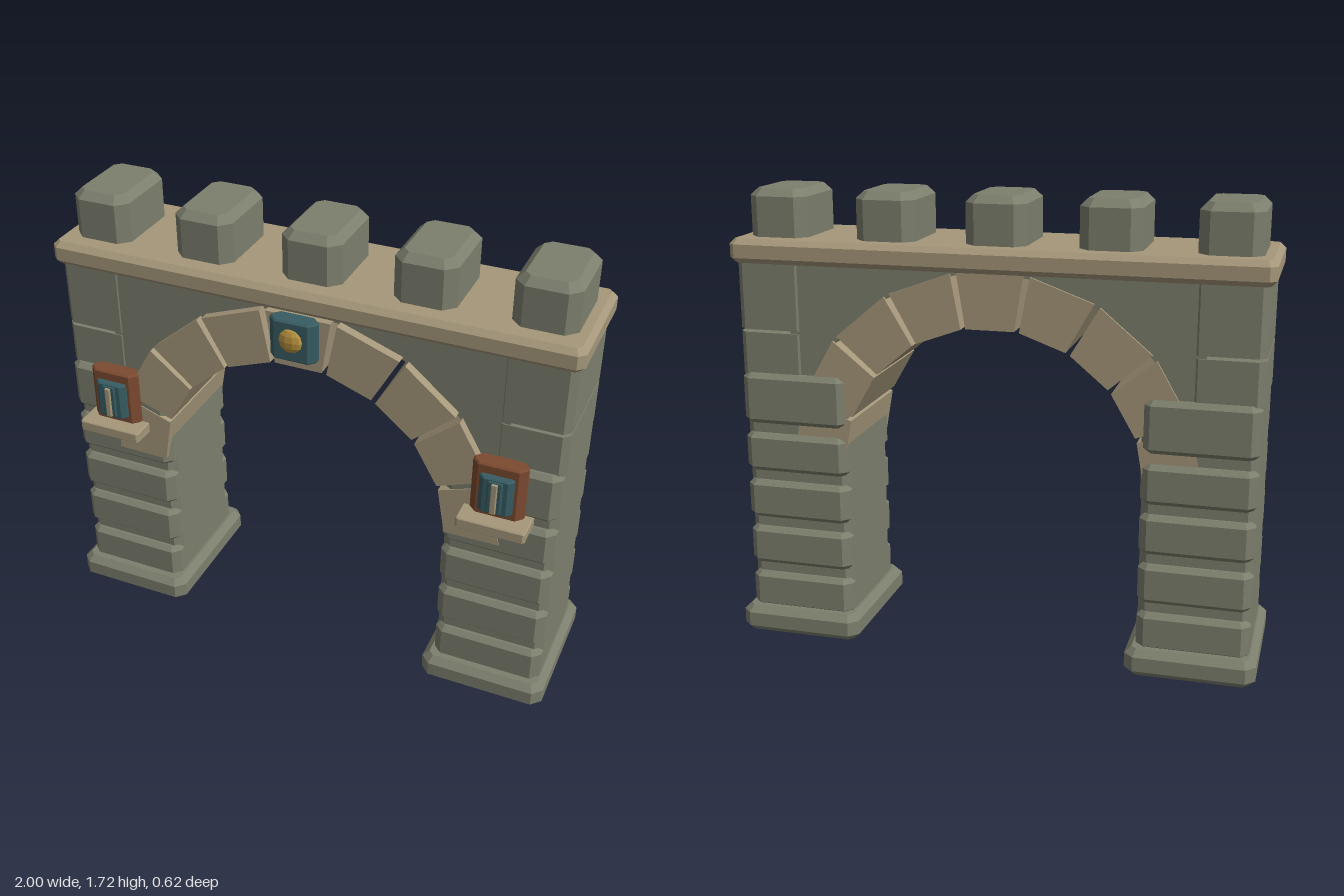
import * as THREE from 'three';

const mat = (name, color) => {
  const m = new THREE.MeshStandardMaterial({ color });
  m.name = name;
  return m;
};

export function createModel() {
  const group = new THREE.Group();
  const stone = mat('greyGreenStone', 0x7c7f6d);
  const sand = mat('sandstone', 0xa5977a);
  const wood = mat('brownWood', 0x7c4a30);
  const teal = mat('tealGlass', 0x375c62);
  const gold = mat('gold', 0xb8923f);

  const add = (name, geometry, material, parent = group) => {
    const mesh = new THREE.Mesh(geometry, material);
    mesh.name = name;
    parent.add(mesh);
    return mesh;
  };

  // Box between two corners, with cut vertical corners and bevelled top and bottom
  const cutBox = (x0, x1, y0, y1, z0, z1, cut, bevel) => {
    const s = new THREE.Shape([
      [x0 + cut, -z1], [x1 - cut, -z1], [x1, -z1 + cut], [x1, -z0 - cut],
      [x1 - cut, -z0], [x0 + cut, -z0], [x0, -z0 - cut], [x0, -z1 + cut],
    ].map(([x, y]) => new THREE.Vector2(x, y)));
    const g = new THREE.ExtrudeGeometry(s, {
      depth: y1 - y0 - 2 * bevel, bevelEnabled: bevel > 0, bevelSegments: 1,
      bevelThickness: bevel, bevelSize: bevel, bevelOffset: -bevel,
    });
    return g.rotateX(-Math.PI / 2).translate(0, y0 + bevel, 0);
  };

  const prism = (points, z0, z1) => new THREE.ExtrudeGeometry(
    new THREE.Shape(points.map(([x, y]) => new THREE.Vector2(x, y))),
    { depth: z1 - z0, bevelEnabled: false }).translate(0, 0, z0);

  // Box placed for the left (+1) or right (-1) side
  const sideBox = (s, x0, x1, ...rest) =>
    s > 0 ? cutBox(x0, x1, ...rest) : cutBox(-x1, -x0, ...rest);

  for (const s of [1, -1]) {
    // Pier: foot, core and five raised courses
    const pier = new THREE.Group();
    pier.name = s > 0 ? 'leftPier' : 'rightPier';
    group.add(pier);
    add('foot', sideBox(s, 0.52, 1, 0, 0.105, -0.31, 0.265, 0.035, 0.025), stone, pier);
    add('core', sideBox(s, 0.555, 0.97, 0.08, 1.03, -0.235, 0.19, 0.03, 0), stone, pier);
    [[0.09, 0.235], [0.275, 0.425], [0.465, 0.615], [0.655, 0.805], [0.845, 1.04]].forEach(([y0, y1]) =>
      add('course', sideBox(s, 0.555, 0.97, y0, y1, -0.263, 0.218, 0.03, 0.018), stone, pier));

    // Upper corner blocks with an open joint between them
    for (const [y0, y1] of [[1.03, 1.195], [1.206, 1.47]])
      add('cornerBlock', sideBox(s, 0.717, 0.975, y0, y1, -0.237, 0.19, 0.025, 0), stone, pier);

    // Small window with sill, frame, pane and bar
    const win = new THREE.Group();
    win.name = s > 0 ? 'leftWindow' : 'rightWindow';
    win.position.x = s * 0.76;
    group.add(win);
    add('sill', cutBox(-0.126, 0.126, 0.807, 0.85, 0.17, 0.313, 0.008, 0.004), sand, win);
    add('frame', cutBox(-0.098, 0.098, 0.85, 1.065, 0.19, 0.258, 0.025, 0.006), wood, win);
    add('pane', cutBox(-0.062, 0.062, 0.88, 1.028, 0.24, 0.285, 0.018, 0.005), teal, win);
    add('innerPane', cutBox(-0.028, 0.028, 0.888, 1.02, 0.27, 0.291, 0.006, 0.003), teal, win);
    add('bar', cutBox(-0.011, 0.011, 0.892, 1.015, 0.28, 0.3, 0.003, 0.002), sand, win);
  }

  // Arch ring of nine wedge stones with narrow joints
  const cy = 0.69;
  const polar = (r, deg) => {
    const a = THREE.MathUtils.degToRad(deg);
    return [r * Math.sin(a), cy + r * Math.cos(a)];
  };
  for (let i = -4; i <= 4; i++) {
    const a = i * 20 - 9.1, b = i * 20 + 9.1;
    add('archStone', prism([polar(0.57, a), polar(0.57, b), polar(0.775, b), polar(0.775, a)].reverse(),
      -0.24, 0.222), sand);
  }

  // Wall above the arch
  const under = [];
  for (let a = -70; a <= 70; a += 20) under.push(polar(0.765, a));
  add('spandrelWall', prism([...under, [0.77, 0.95], [0.77, 1.47], [-0.77, 1.47], [-0.77, 0.95]],
    -0.23, 0.186), stone);

  // Cornice and battlements
  add('cornice', cutBox(-0.995, 0.995, 1.455, 1.545, -0.26, 0.215, 0.025, 0.02), sand);
  for (let i = -2; i <= 2; i++) {
    const x = i * 0.415;
    add('merlon', cutBox(x - 0.113, x + 0.113, 1.51, 1.722, -0.185, 0.135, 0.04, 0.028), stone);
  }

  // Keystone plaque with a low faceted boss
  add('plaque', cutBox(-0.088, 0.088, 1.31, 1.466, 0.215, 0.283, 0.025, 0.006), teal);
  const boss = new THREE.SphereGeometry(0.047, 10, 6).toNonIndexed();
  boss.scale(1, 1, 0.45);
  boss.computeVertexNormals();
  add('boss', boss, gold).position.set(0, 1.393, 0.28);

  return group;
}
